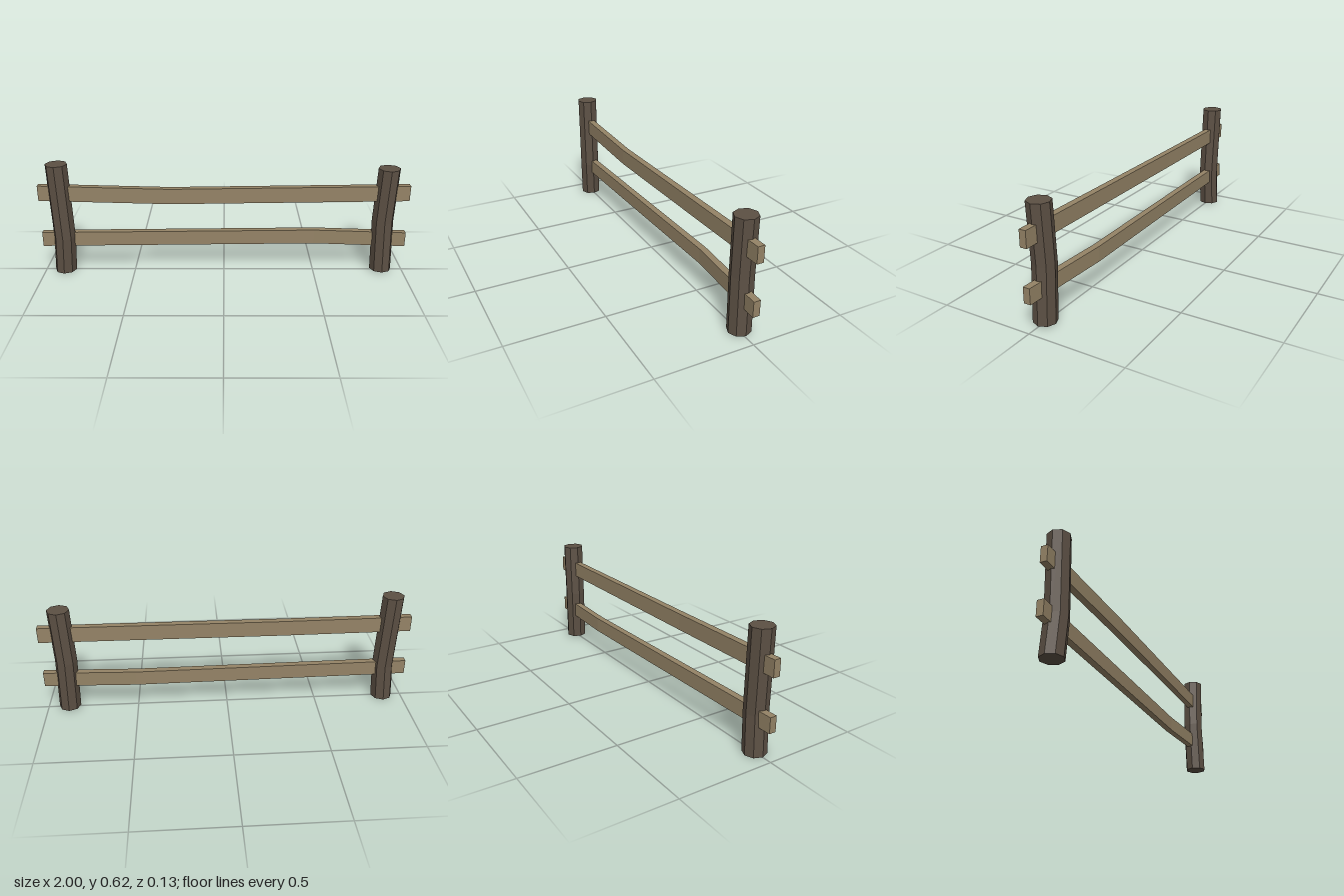
import * as THREE from 'three';

export function createModel() {
  const fence = new THREE.Group();
  fence.name = 'railFence';
  const make = (name, color) => {
    const m = new THREE.MeshStandardMaterial({ color });
    m.name = name;
    m.flatShading = true;
    return m;
  };
  const postWood = make('dark post wood', 0x5c5044);
  const railWood = make('light rail wood', 0x948366);

  // Moves the middle ring of a two-segment geometry by (dx, dy, dz)
  const bend = (geometry, axis, [dx, dy, dz]) => {
    const p = geometry.attributes.position;
    for (let i = 0; i < p.count; i++) {
      if (Math.abs(p.getComponent(i, axis)) < 1e-4) {
        p.setXYZ(i, p.getX(i) + dx, p.getY(i) + dy, p.getZ(i) + dz);
      }
    }
    geometry.computeVertexNormals();
    return geometry;
  };
  const add = (name, geometry, material, position) => {
    const mesh = new THREE.Mesh(geometry, material);
    mesh.name = name;
    mesh.position.set(...position);
    fence.add(mesh);
  };

  // Eight-sided posts, kinked at a ring part-way up
  const post = (name, x, z, bottom, top, kinkY, kink) => {
    const h = top - bottom, mid = (top + bottom) / 2;
    const g = new THREE.CylinderGeometry(0.059, 0.059, h, 8, 2);
    bend(g, 1, [kink[0], kinkY - mid, kink[1]]);
    add(name, g, postWood, [x, mid, z]);
  };
  post('rightPost', -0.89, 0.001, 0, 0.624, 0.205, [0.012, 0.005]);
  post('leftPost', 0.88, -0.001, 0.007, 0.6, 0.3, [-0.01, -0.004]);

  // Rectangular rails, each slightly crooked at one point
  const rail = (name, y, height, kink) => {
    const g = new THREE.BoxGeometry(2, height, 0.036, 2, 1, 1);
    add(name, bend(g, 0, kink), railWood, [0, y, -0.002]);
  };
  rail('upperRail', 0.462, 0.085, [-0.29, -0.012, 0.016]);
  rail('lowerRail', 0.191, 0.081, [0.5, 0.004, -0.027]);

  return fence;
}
